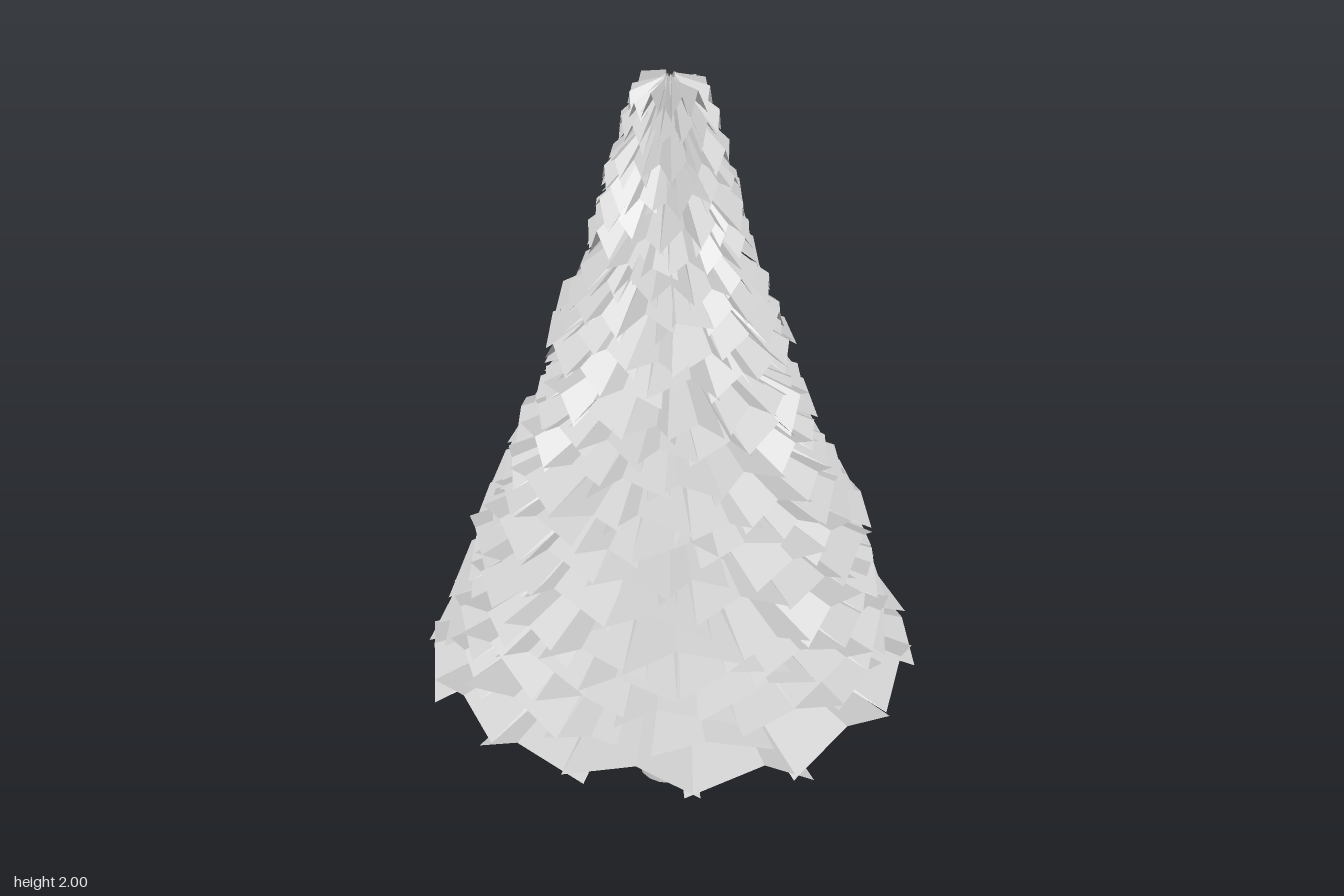
import * as THREE from 'three';

const foliage = new THREE.MeshStandardMaterial({ color: 0xcccccc, flatShading: true, side: THREE.DoubleSide });
const bark = new THREE.MeshStandardMaterial({ color: 0xcccccc, side: THREE.DoubleSide });

// Branch rings: height and radius of the outer corners
const TIERS = [
  [0.39, 0.64], [0.46, 0.585], [0.54, 0.565], [0.6, 0.535], [0.65, 0.52], [0.77, 0.51], [0.84, 0.47],
  [0.9, 0.435], [0.97, 0.41], [1.06, 0.38], [1.12, 0.345], [1.175, 0.315], [1.28, 0.31], [1.34, 0.28],
  [1.41, 0.25], [1.48, 0.22], [1.56, 0.2], [1.63, 0.18], [1.7, 0.165], [1.77, 0.145], [1.84, 0.12], [1.9, 0.1],
];
const CARDS = 14;

let seed = 7;
const jitter = (amount) => {
  seed = (seed * 16807) % 2147483647;
  return (seed / 2147483647 * 2 - 1) * amount;
};

// One branch: two panels meeting at an off-centre ridge, wide at the tip and narrow at the trunk
function addBranch(out, angle, y, r, slope) {
  const half = 0.265 + jitter(0.025);
  const tipU = r * Math.cos(half), tipW = r * Math.sin(half);
  const innerU = Math.max(0.012, 0.1 * r), innerW = tipW * 0.25;
  const drop = 0.05 + jitter(0.015), roll = jitter(0.02);
  const ridgeW = jitter(0.3);
  const ridgeY = y + drop;
  const innerY = Math.min(1.99 + jitter(0.01), ridgeY + slope * (tipU - innerU));
  const c = Math.cos(angle), s = Math.sin(angle);
  const at = (u, h, w) => [u * c - w * s, h, u * s + w * c];
  const ridgeIn = at(innerU, innerY, ridgeW * innerW);
  const ridgeTip = at(r * 0.965, ridgeY, ridgeW * tipW);
  for (const side of [-1, 1]) {
    const edgeIn = at(innerU, innerY - drop * 0.5, side * innerW);
    const edgeTip = at(tipU, y + side * roll, side * tipW);
    const quad = side > 0 ? [ridgeIn, edgeIn, edgeTip, ridgeTip] : [ridgeIn, ridgeTip, edgeTip, edgeIn];
    for (const i of [0, 1, 2, 0, 2, 3]) out.push(...quad[i]);
  }
}

function branchTier([y, r], index) {
  const positions = [];
  // Nearly level low branches, steep ones in the crown
  const slope = y < 1.25 ? 0.3 + 0.12 * (y - 0.4) : 0.55 + 0.85 * (y - 1.28);
  for (let i = 0; i < CARDS; i++) {
    const angle = (i + index * 0.382) / CARDS * Math.PI * 2 + jitter(0.05);
    addBranch(positions, angle, y + jitter(0.02), r * (1 + jitter(0.02)), slope);
  }
  const geometry = new THREE.BufferGeometry();
  geometry.setAttribute('position', new THREE.Float32BufferAttribute(positions, 3));
  geometry.computeVertexNormals();
  const mesh = new THREE.Mesh(geometry, foliage);
  mesh.name = `branchTier${index + 1}`;
  return mesh;
}

// Tapered trunk, open at the ends, bending slightly on its way up
function makeTrunk() {
  const geometry = new THREE.CylinderGeometry(0.012, 0.08, 1.95, 16, 8, true).translate(0, 0.975, 0);
  const p = geometry.attributes.position;
  for (let i = 0; i < p.count; i++) {
    const bend = 0.015 * (p.getY(i) / 1.95) ** 2;
    p.setX(i, p.getX(i) - bend);
    p.setZ(i, p.getZ(i) + bend);
  }
  geometry.computeVertexNormals();
  const mesh = new THREE.Mesh(geometry, bark);
  mesh.name = 'trunk';
  return mesh;
}

export function createModel() {
  const tree = new THREE.Group();
  tree.name = 'coniferTree';
  tree.add(makeTrunk());

  const branches = new THREE.Group();
  branches.name = 'branches';
  TIERS.forEach((tier, i) => branches.add(branchTier(tier, i)));
  tree.add(branches);
  return tree;
}
